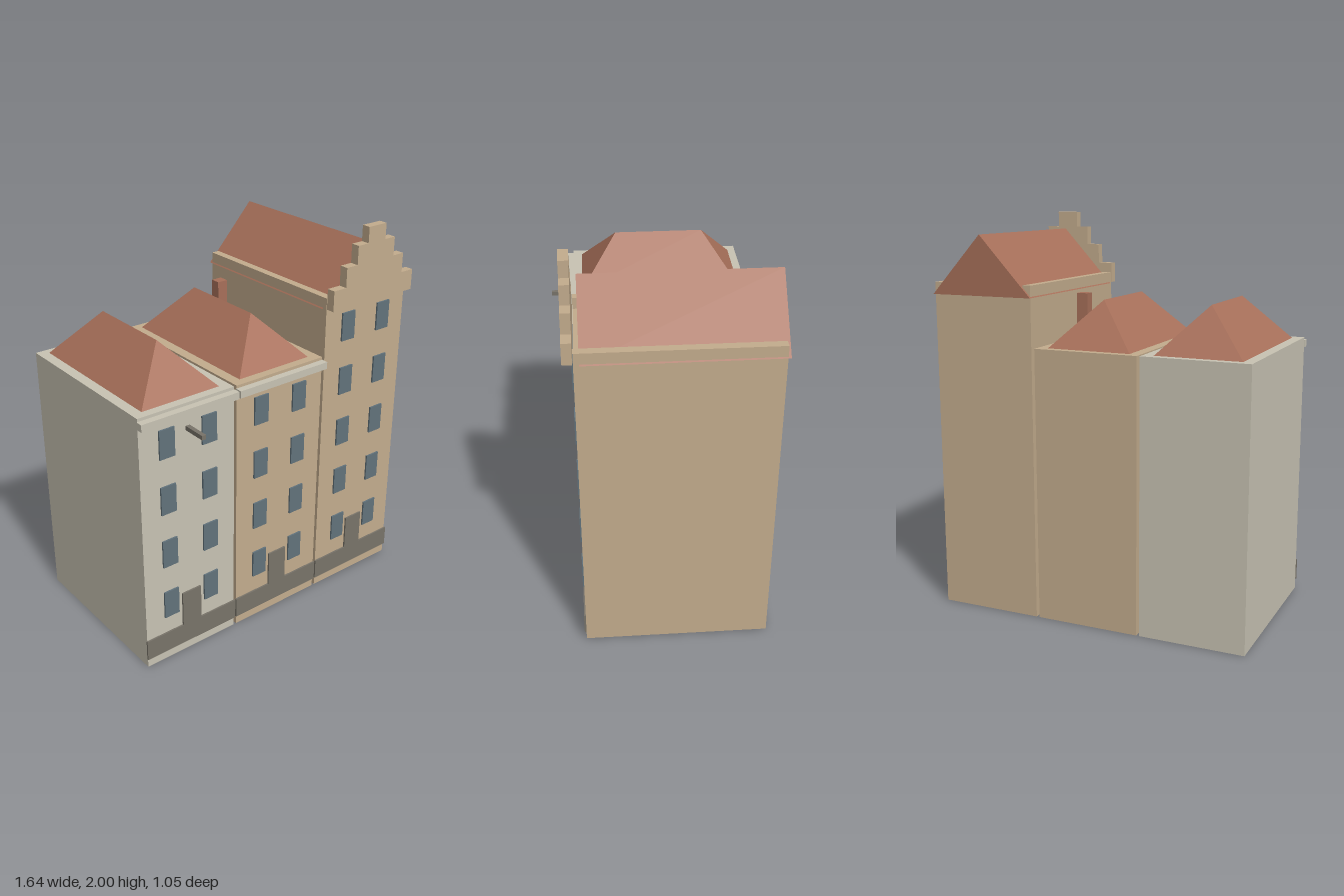
import * as THREE from 'three';

const mat = (name, color) => {
  const m = new THREE.MeshStandardMaterial({ color });
  m.name = name;
  return m;
};

// Box given by its min and max on each axis
function box(name, material, [x0, x1], [y0, y1], [z0, z1]) {
  const mesh = new THREE.Mesh(new THREE.BoxGeometry(x1 - x0, y1 - y0, z1 - z0), material);
  mesh.position.set((x0 + x1) / 2, (y0 + y1) / 2, (z0 + z1) / 2);
  mesh.name = name;
  return mesh;
}

// Flat outline pushed forward from z by depth
function slab(name, material, points, z, depth) {
  const shape = new THREE.Shape(points.map(([x, y]) => new THREE.Vector2(x, y)));
  const mesh = new THREE.Mesh(new THREE.ExtrudeGeometry(shape, { depth, bevelEnabled: false }), material);
  mesh.position.z = z;
  mesh.name = name;
  return mesh;
}

// Ridged roof: hipped if the ridge is shorter than the base, gabled if equal
function ridgedRoof(material, half, y0, y1, [zBack, zFront], [ridgeBack, ridgeFront]) {
  const a = [-half, y0, zFront], b = [half, y0, zFront];
  const c = [half, y0, zBack], d = [-half, y0, zBack];
  const f = [0, y1, ridgeFront], r = [0, y1, ridgeBack];
  const faces = [[a, b, f], [c, d, r], [b, c, r], [b, r, f], [d, a, f], [d, f, r], [a, d, c], [a, c, b]];
  const geo = new THREE.BufferGeometry();
  geo.setAttribute('position', new THREE.Float32BufferAttribute(faces.flat(2), 3));
  geo.computeVertexNormals();
  const mesh = new THREE.Mesh(geo, material);
  mesh.name = 'roof';
  return mesh;
}

export function createModel() {
  const greyPlaster = mat('grey plaster', 0xc9c4b4);
  const tanPlaster = mat('tan plaster', 0xc4ad8e);
  const tile = mat('roof tile', 0xa8705a);
  const glass = mat('window glass', 0x62737c);
  const stone = mat('dark stone', 0x79746a);

  const BACK = -0.51, FRONT = 0.4, HALF = 0.267;
  const model = new THREE.Group();
  model.name = 'townhouses';

  // Walls, windows, plinth and door shared by every house
  function house(name, x, wall, height, floors) {
    const g = new THREE.Group();
    g.name = name;
    g.position.x = x;
    g.add(box('walls', wall, [-HALF, HALF], [0, height], [BACK, FRONT]));
    for (let i = 0; i < floors; i++) {
      const y = 0.328 + i * 0.2935;
      for (const s of [-1, 1]) {
        const cx = s * 0.119;
        g.add(box('window', glass, [cx - 0.042, cx + 0.042], [y - 0.074, y + 0.074], [FRONT, FRONT + 0.009]));
      }
    }
    const outline = [[-0.271, 0.05], [0.271, 0.05], [0.271, 0.16], [0.055, 0.16],
      [0.055, 0.35], [-0.055, 0.35], [-0.055, 0.16], [-0.271, 0.16]];
    g.add(slab('plinthAndDoor', stone, outline, FRONT, 0.009));
    model.add(g);
    return g;
  }

  // Two lower houses with hipped roofs and a front cornice
  const left = house('greyHouse', -0.553, greyPlaster, 1.375, 4);
  const middle = house('middleHouse', -0.004, tanPlaster, 1.375, 4);
  for (const g of [left, middle]) {
    g.add(box('cornice', greyPlaster, [-0.27, 0.27], [1.323, 1.36], [FRONT, 0.436]));
    g.add(ridgedRoof(tile, 0.214, 1.375, 1.6, [-0.47, 0.355], [-0.29, 0.17]));
  }
  left.add(box('hoistBeam', stone, [-0.011, 0.011], [1.238, 1.26], [FRONT, 0.525]));
  middle.add(box('chimney', tile, [0.1, 0.157], [1.46, 1.625], [-0.27, -0.218]));

  // Tall house with gabled roof, side parapets and a stepped front gable
  const tall = house('tallHouse', 0.546, tanPlaster, 1.62, 5);
  tall.add(ridgedRoof(tile, 0.272, 1.616, 1.91, [-0.523, 0.375], [-0.523, 0.375]));
  for (const s of [-1, 1]) {
    const xs = [s * 0.225, s * HALF].sort((p, q) => p - q);
    tall.add(box('parapet', tanPlaster, xs, [1.62, 1.675], [BACK, FRONT]));
  }
  const steps = [[0.267, 1.62, 1.725], [0.19, 1.725, 1.825], [0.122, 1.825, 1.92], [0.057, 1.92, 2]];
  const rightEdge = steps.flatMap(([x, y0, y1]) => [[x, y0], [x, y1]]);
  const leftEdge = rightEdge.map(([x, y]) => [-x, y]).reverse();
  tall.add(slab('steppedGable', tanPlaster, [...rightEdge, ...leftEdge], FRONT + 0.003, 0.045));

  return model;
}
